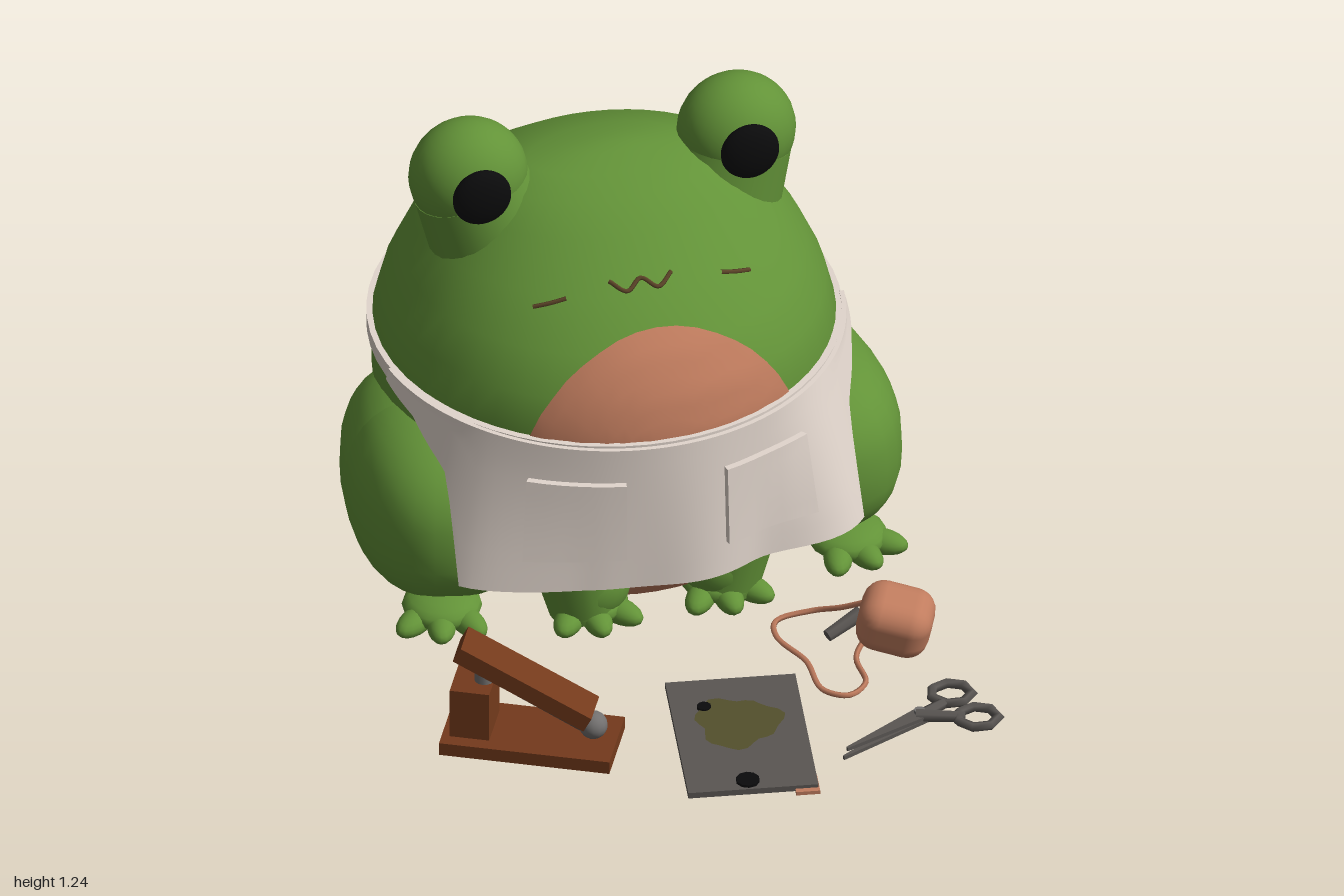
import * as THREE from 'three';
import { RoundedBoxGeometry } from 'three/addons/geometries/RoundedBoxGeometry.js';
import { toCreasedNormals } from 'three/addons/utils/BufferGeometryUtils.js';

const mat = (name, color, double) => {
  const m = new THREE.MeshStandardMaterial({ color, side: double ? THREE.DoubleSide : THREE.FrontSide });
  m.name = name;
  return m;
};
const green = mat('green skin', 0x639338), salmon = mat('salmon', 0xc07c5e, true);
const cloth = mat('apron cloth', 0xe2d6cd, true), black = mat('pupil black', 0x0b0b0c);
const line = mat('mouth brown', 0x5c4428), wood = mat('red brown wood', 0x743a1c);
const steel = mat('dark steel', 0x5a5653), stain = mat('olive stain', 0x54502c, true);
const silver = mat('grey metal', 0x737170);

const V = (x, y, z) => new THREE.Vector3(x, y, z);

function add(parent, name, geo, material, pos = [0, 0, 0], rot = [0, 0, 0], scale = [1, 1, 1]) {
  const m = new THREE.Mesh(geo, material);
  m.name = name;
  m.position.set(...pos);
  m.rotation.set(...rot);
  m.scale.set(...scale);
  parent.add(m);
  return m;
}

// Move every vertex of a geometry by a rule
function remap(geo, rule) {
  const p = geo.attributes.position;
  for (let i = 0; i < p.count; i++) {
    const v = rule(p.getX(i), p.getY(i), p.getZ(i));
    p.setXYZ(i, v.x, v.y, v.z);
  }
  geo.computeVertexNormals();
  return geo;
}

// Tapered rod between two points
function rod(parent, name, a, b, ra, rb, material, sides = 14) {
  const d = b.clone().sub(a);
  const m = add(parent, name, new THREE.CylinderGeometry(rb, ra, d.length(), sides), material);
  m.position.copy(a).addScaledVector(d, 0.5);
  m.quaternion.setFromUnitVectors(V(0, 1, 0), d.normalize());
  return m;
}
const tube = (pts, r) => new THREE.TubeGeometry(new THREE.CatmullRomCurve3(pts), pts.length * 6, r, 5);

// Body cross-sections: height, half width, front z, back z
const SECTIONS = [
  [0.015, 0.43, 0.04, -0.83], [0.06, 0.48, 0.1, -0.89], [0.15, 0.525, 0.15, -0.93], [0.3, 0.56, 0.19, -0.945],
  [0.45, 0.575, 0.215, -0.945], [0.6, 0.575, 0.22, -0.94], [0.7, 0.55, 0.19, -0.91], [0.8, 0.505, 0.13, -0.86],
  [0.9, 0.445, 0.02, -0.77], [1.0, 0.365, -0.09, -0.64], [1.06, 0.29, -0.17, -0.53], [1.09, 0.2, -0.24, -0.46],
  [1.105, 0.08, -0.31, -0.39],
];
function sectionAt(y) {
  let i = 0;
  while (i < SECTIONS.length - 2 && SECTIONS[i + 1][0] < y) i++;
  const [a, b] = [SECTIONS[i], SECTIONS[i + 1]];
  const t = THREE.MathUtils.clamp((y - a[0]) / (b[0] - a[0]), 0, 1);
  return a.map((v, k) => v + (b[k] - v) * t);
}
// Point on the front of the body
function onFront(x, y, off) {
  const [, w, zf, zb] = sectionAt(y);
  const c = (zf + zb) / 2;
  return V(x, y, c + (zf - c) * Math.sqrt(Math.max(0, 1 - (x / w) ** 2)) + off);
}

function bodyGeometry() {
  const N = 48, pos = [], idx = [], rows = SECTIONS.length;
  for (const [y, w, zf, zb] of SECTIONS)
    for (let j = 0; j < N; j++) {
      const a = (j / N) * Math.PI * 2;
      pos.push(w * Math.sin(a), y, (zf + zb) / 2 + ((zf - zb) / 2) * Math.cos(a));
    }
  pos.push(0, 0.01, -0.4, 0, 1.108, -0.35);
  for (let j = 0; j < N; j++) {
    const k = (j + 1) % N;
    for (let i = 0; i < rows - 1; i++) {
      const a = i * N + j, b = i * N + k;
      idx.push(a, b, b + N, a, b + N, a + N);
    }
    idx.push(rows * N, k, j, rows * N + 1, (rows - 1) * N + j, (rows - 1) * N + k);
  }
  const g = new THREE.BufferGeometry();
  g.setAttribute('position', new THREE.Float32BufferAttribute(pos, 3));
  g.setIndex(idx);
  g.computeVertexNormals();
  return g;
}

// Point on the apron: angle from the front, height, distance off the cloth
function onApron(th, y, off) {
  const down = THREE.MathUtils.clamp((0.6 - y) / 0.4, 0, 1);
  const side = THREE.MathUtils.smoothstep(Math.abs(th), 0.35, 0.85);
  const s = 1 + down * (0.02 + 0.16 * side) + 0.012 * down * Math.sin(th * 11) + off / 0.6;
  return V(0.59 * s * Math.sin(th), y, -0.35 + 0.61 * s * Math.cos(th));
}
// Lower hem height by angle: straight in front, sweeping up at the sides
const HEM = [[0, 0.195], [0.855, 0.195], [0.9, 0.35], [0.98, 0.47], [1.2, 0.55], [1.42, 0.575]];
function hem(th) {
  const a = Math.abs(th), i = Math.max(1, HEM.findIndex(h => h[0] >= a - 1e-6));
  const [p, q] = [HEM[i - 1], HEM[i]];
  return p[1] + ((q[1] - p[1]) * (a - p[0])) / (q[0] - p[0]);
}

function foot(parent, name, x, z, turn) {
  const g = new THREE.Group();
  g.name = name;
  g.position.set(x, 0, z);
  g.rotation.y = turn;
  parent.add(g);
  const ball = new THREE.SphereGeometry(1, 16, 10);
  add(g, 'sole', ball, green, [0, 0.045, 0.03], [0, 0, 0], [0.1, 0.045, 0.1]);
  for (const a of [-0.6, 0, 0.6])
    add(g, 'toe', ball, green, [Math.sin(a) * 0.11, 0.032, Math.cos(a) * 0.1], [0, a, 0], [0.037, 0.032, 0.075]);
}

function buildFrog(root) {
  const frog = new THREE.Group();
  frog.name = 'frog';
  root.add(frog);
  const ball = new THREE.SphereGeometry(1, 28, 18);
  add(frog, 'body', bodyGeometry(), green);
  add(frog, 'tail', ball, green, [0, 0.145, -0.865], [0, 0, 0], [0.15, 0.14, 0.13]);
  add(frog, 'belly', remap(new THREE.RingGeometry(0.001, 1, 44, 12),
    (x, y) => onFront(x * 0.365, 0.445 + y * 0.4, 0.009)), salmon);
  // Haunch: a sphere squared off a little
  const sq = v => Math.sign(v) * Math.abs(v) ** 0.82;
  const haunch = remap(new THREE.SphereGeometry(1, 28, 18), (x, y, z) => V(sq(x) * 0.24, sq(y) * 0.25, sq(z) * 0.345));
  for (const s of [1, -1]) {
    const side = s > 0 ? 'left' : 'right';
    add(frog, side + ' haunch', haunch, green, [s * 0.455, 0.25, -0.26], [0, s * 0.12, 0]);
    foot(frog, side + ' hind foot', s * 0.515, -0.04, s * 0.3);
    rod(frog, side + ' front leg', V(s * 0.175, 0.03, 0.07), V(s * 0.245, 0.42, 0.06), 0.095, 0.14, green, 20);
    add(frog, side + ' wrist', ball, green, [s * 0.17, 0.11, 0.08], [0, 0, 0], [0.105, 0.11, 0.09]);
    foot(frog, side + ' front foot', s * 0.17, 0.04, 0);
    // Eye with its neck and pupil
    const ex = s > 0 ? 0.338 : -0.355;
    const stalk = rod(frog, side + ' eye stalk', V(s * 0.275, 0.86, -0.35), V(ex, 1.07, -0.35), 0.17, 0.145, green, 28);
    stalk.scale.z = 0.9;
    add(frog, side + ' eye', ball, green, [ex, 1.085, -0.35], [0, 0, 0], [0.15, 0.15, 0.132]);
    add(frog, side + ' pupil', ball, black, [ex, 1.095, -0.23], [0, 0, 0], [0.075, 0.077, 0.036]);
    const cheek = [0.2, 0.24, 0.28].map(x => onFront(s * x, 0.955 - x * 0.28, 0.002));
    add(frog, side + ' cheek line', tube(cheek, 0.006), line);
  }
  const mouth = [-0.08, -0.04, 0, 0.04, 0.08].map((x, i) => onFront(x - 0.01, i % 2 ? 0.91 : 0.93, 0.002));
  add(frog, 'mouth', tube(mouth, 0.006), line);
}

function buildApron(root) {
  const apron = new THREE.Group();
  apron.name = 'apron';
  root.add(apron);
  add(apron, 'panel', remap(new THREE.BoxGeometry(2.84, 1, 0.012, 64, 8, 1), (th, v, off) => {
    const low = hem(th);
    return onApron(th, low + (0.605 - low) * (v + 0.5), off);
  }), cloth);
  for (const s of [1, -1])
    add(apron, 'pocket', remap(new THREE.BoxGeometry(0.22, 0.22, 0.03, 6, 6, 1),
      (x, y, z) => onApron(Math.asin((s * 0.237 + x) / 0.6), 0.4 + y, z + 0.008)), cloth);
  const rim = [[0.98, -0.02], [1.01, -0.02], [1.01, 0.02], [0.98, 0.02], [0.98, -0.02]].map(p => new THREE.Vector2(...p));
  add(apron, 'strap', toCreasedNormals(new THREE.LatheGeometry(rim, 56), 0.6), cloth,
    [0, 0.582, -0.357], [0, 0, 0], [0.584, 1, 0.592]);
}

function buildPress(root) {
  const g = new THREE.Group();
  g.name = 'hand press';
  g.position.set(-0.465, 0, 0.57);
  g.rotation.y = -0.484;
  root.add(g);
  add(g, 'base', new THREE.BoxGeometry(0.43, 0.035, 0.2), wood, [0, 0.025, 0]);
  add(g, 'block', new THREE.BoxGeometry(0.1, 0.14, 0.13), wood, [-0.145, 0.11, 0]);
  add(g, 'arm', new THREE.BoxGeometry(0.37, 0.045, 0.1), wood, [-0.015, 0.195, 0], [0, 0, -0.47]);
  rod(g, 'post', V(-0.12, 0.16, 0), V(-0.12, 0.23, 0), 0.025, 0.025, silver);
  rod(g, 'spring rod', V(-0.09, 0.18, 0), V(0.14, 0.06, 0), 0.009, 0.009, steel, 6);
  add(g, 'knob', new THREE.SphereGeometry(0.036, 14, 10), silver, [0.155, 0.08, 0]);
}

function buildBoard(root) {
  const g = new THREE.Group();
  g.name = 'work board';
  g.position.set(0.035, 0.02, 0.713);
  g.rotation.y = -0.17;
  root.add(g);
  add(g, 'sheet', new THREE.BoxGeometry(0.325, 0.016, 0.48), steel);
  add(g, 'backing corner', new THREE.BoxGeometry(0.06, 0.01, 0.07), salmon, [0.135, -0.006, 0.22]);
  const blot = remap(new THREE.CircleGeometry(0.105, 30), (x, y) => {
    const a = Math.atan2(y, x), r = 1 + 0.12 * Math.sin(3 * a + 1) + 0.07 * Math.sin(7 * a);
    return V(x * r, y * r, 0);
  });
  add(g, 'stain', blot, stain, [-0.005, 0.011, -0.045], [-Math.PI / 2, 0, 0]);
  add(g, 'small spot', new THREE.CylinderGeometry(0.018, 0.018, 0.008, 10), black, [-0.08, 0.011, -0.12]);
  add(g, 'large spot', new THREE.CylinderGeometry(0.03, 0.03, 0.008, 10), black, [-0.01, 0.011, 0.205]);
}

function buildPouch(root) {
  const g = new THREE.Group();
  g.name = 'pouch';
  root.add(g);
  add(g, 'bag', new RoundedBoxGeometry(0.185, 0.15, 0.165, 3, 0.055), salmon, [0.515, 0.092, 0.437], [0.15, -0.45, -0.15]);
  rod(g, 'peg', V(0.345, 0.06, 0.415), V(0.44, 0.09, 0.385), 0.016, 0.02, steel, 8);
  // Cord loop: x, height, z
  const loop = [[0.46, 0.11, 0.37], [0.41, 0.07, 0.32], [0.35, 0.035, 0.265], [0.26, 0.02, 0.26], [0.24, 0.02, 0.33],
    [0.28, 0.02, 0.45], [0.285, 0.02, 0.58], [0.34, 0.02, 0.62], [0.395, 0.02, 0.58], [0.4, 0.03, 0.48], [0.45, 0.05, 0.42]];
  add(g, 'cord', tube(loop.map(p => V(...p)), 0.0075), salmon);
}

function buildScissors(root) {
  const g = new THREE.Group();
  g.name = 'scissors';
  root.add(g);
  const arms = [[0.25, 0.875, 0.585, 0.685, 0.02], [0.265, 0.855, 0.615, 0.815, 0.03]];
  for (const [tx, tz, rx, rz, y] of arms) {
    // Thin flat blade, tapering to the tip
    const dx = 0.49 - tx, dz = 0.76 - tz, len = Math.hypot(dx, dz);
    const blade = remap(new THREE.BoxGeometry(len, 0.01, 0.045), (x, h, z) => V(x, h, x < 0 ? z * 0.15 : z));
    add(g, 'blade', toCreasedNormals(blade, 0.5), steel, [tx + dx / 2, y, tz + dz / 2], [0, Math.atan2(-dz, dx), 0]);
    rod(g, 'shank', V(0.47, y, 0.765), V(rx - 0.03, y, rz + (rz < 0.75 ? 0.035 : -0.01)), 0.018, 0.014, steel, 6);
    add(g, 'finger ring', new THREE.TorusGeometry(0.047, 0.013, 5, 7), steel, [rx, y, rz], [Math.PI / 2, 0, 0.3], [1.1, 0.95, 1]);
  }
  add(g, 'pivot', new THREE.CylinderGeometry(0.014, 0.014, 0.02, 10), silver, [0.48, 0.034, 0.762]);
}

export function createModel() {
  const root = new THREE.Group();
  root.name = 'frog in apron with tools';
  [buildFrog, buildApron, buildPress, buildBoard, buildPouch, buildScissors].forEach(build => build(root));
  return root;
}
